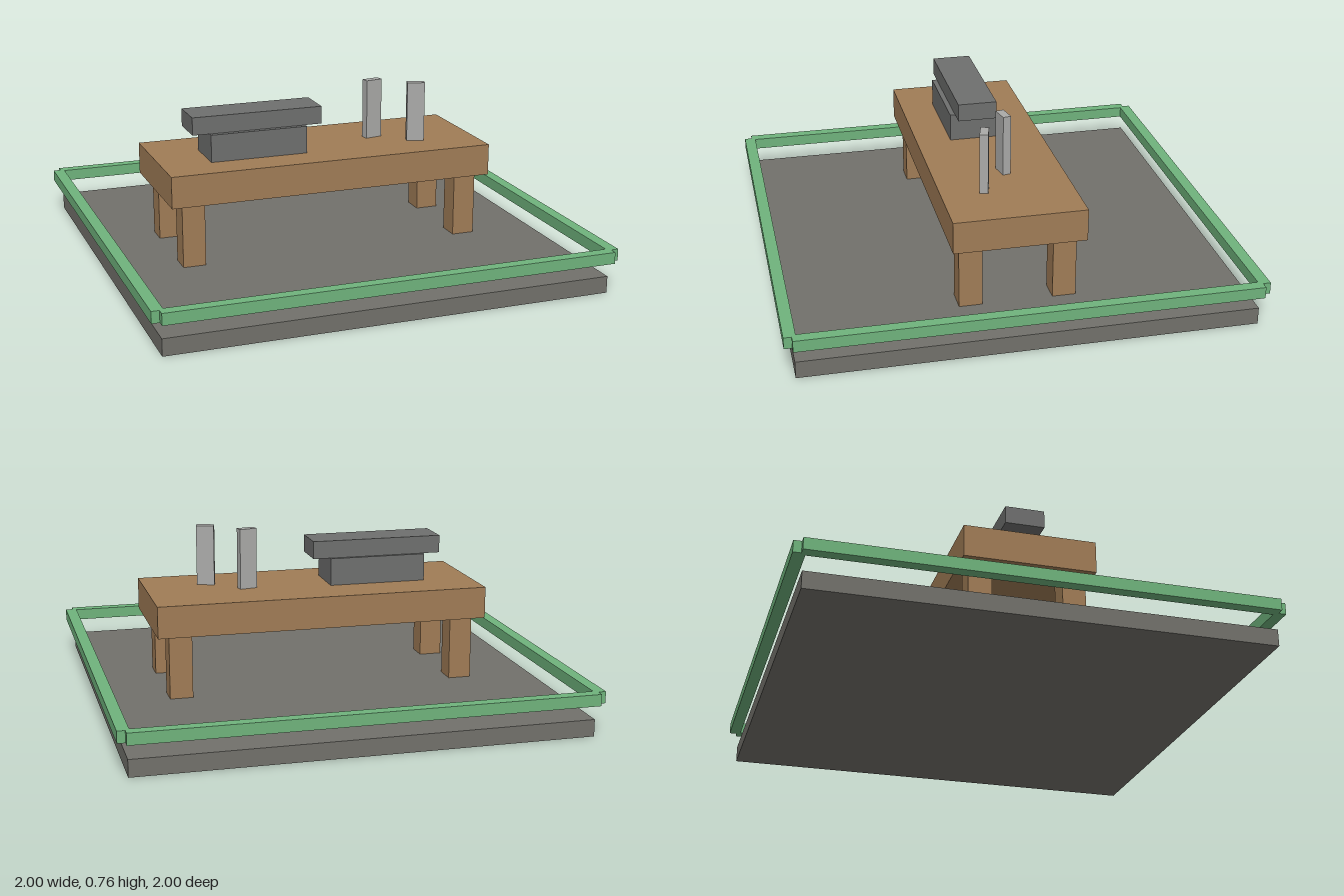
import * as THREE from 'three';

const material = (name, color) => {
  const m = new THREE.MeshStandardMaterial({ color });
  m.name = name;
  return m;
};

export function createModel() {
  const model = new THREE.Group();
  const stone = material('stone', 0x72716b);
  const wood = material('wood', 0xa07c56);
  const iron = material('iron', 0x6e6f6e);
  const steel = material('steel', 0xaaaaa8);
  const green = material('green', 0x6fb37c);

  // Box given by its size, centre in x and z, and underside height
  const box = (name, mat, [w, h, d], [x, bottom, z], turn = 0) => {
    const mesh = new THREE.Mesh(new THREE.BoxGeometry(w, h, d), mat);
    mesh.name = name;
    mesh.position.set(x, bottom + h / 2, z);
    mesh.rotation.y = turn;
    model.add(mesh);
  };

  // Floor slab
  box('floorSlab', stone, [1.92, 0.073, 1.92], [0, 0, 0]);

  // Floating border rails, leaving notched corners
  for (const s of [-1, 1]) {
    box(s > 0 ? 'frontRail' : 'backRail', green, [1.934, 0.05, 0.05], [0, 0.142, s * 0.975]);
    box(s > 0 ? 'leftRail' : 'rightRail', green, [0.05, 0.05, 1.934], [s * 0.975, 0.142, 0]);
  }

  // Workbench
  box('tableTop', wood, [1.462, 0.139, 0.565], [0, 0.35, 0]);
  for (const sx of [-1, 1]) {
    for (const sz of [-1, 1]) {
      box('tableLeg', wood, [0.1, 0.277, 0.1], [sx * 0.63, 0.073, sz * 0.2]);
    }
  }

  // Anvil
  box('anvilBase', iron, [0.435, 0.121, 0.208], [-0.295, 0.489, 0.026]);
  box('anvilTop', iron, [0.586, 0.078, 0.172], [-0.295, 0.61, 0.022]);

  // Upright metal bars
  box('metalBar', steel, [0.078, 0.267, 0.036], [0.291, 0.489, -0.026], 0.2);
  box('metalBar', steel, [0.078, 0.267, 0.036], [0.453, 0.489, 0.092], -0.27);

  return model;
}
